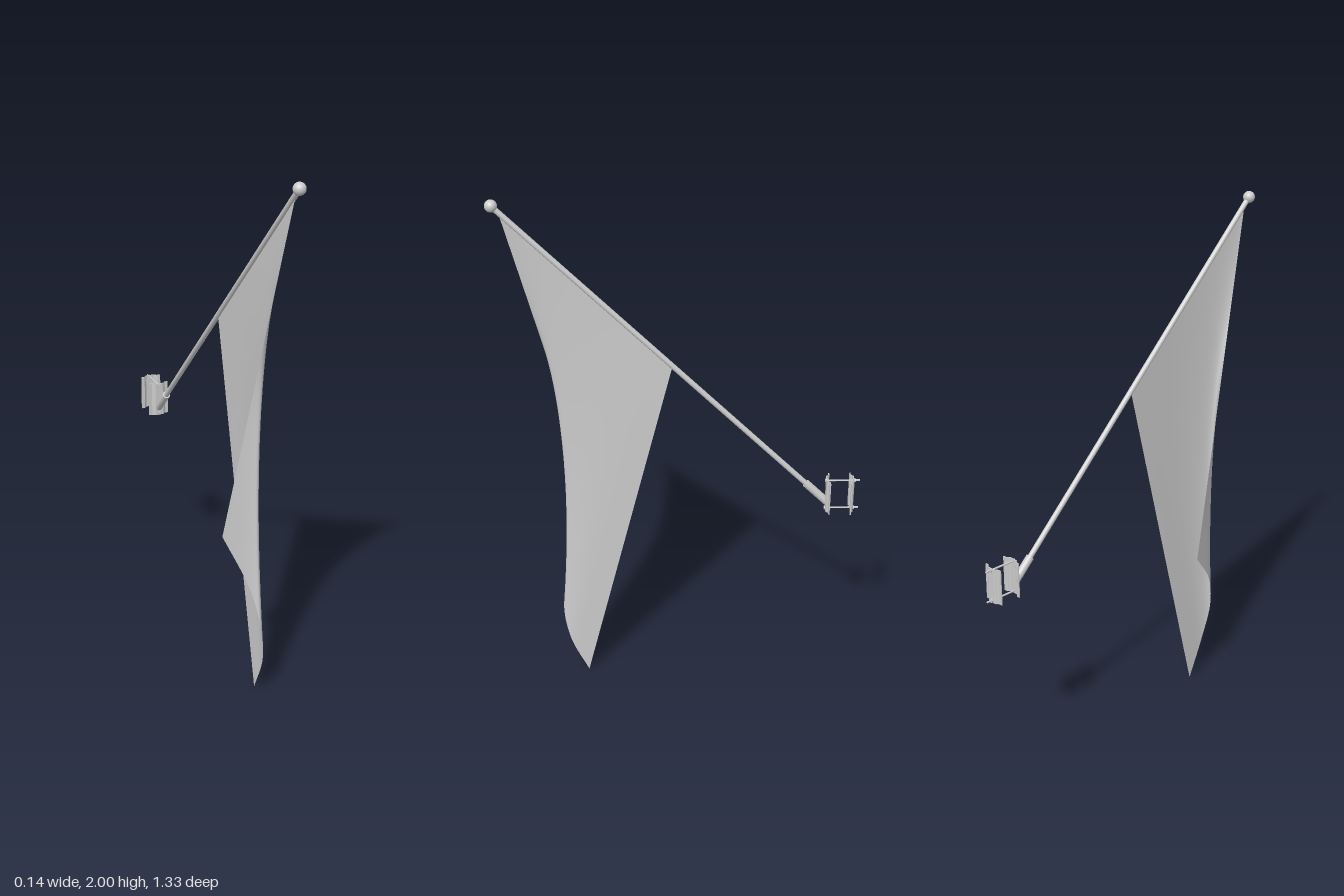
import * as THREE from 'three';

const X = 0.03; // plane of the pole
const mat = new THREE.MeshStandardMaterial({ color: 0xcccccc });
const clothMat = new THREE.MeshStandardMaterial({ color: 0xcccccc, side: THREE.DoubleSide });
const V = (x, y, z) => new THREE.Vector3(x, y, z);

function mesh(name, geometry, material = mat) {
  const m = new THREE.Mesh(geometry, material);
  m.name = name;
  return m;
}

// Cylinder running from point a to point b
function rod(a, b, r, sides = 24) {
  const d = b.clone().sub(a);
  const g = new THREE.CylinderGeometry(r, r, d.length(), sides);
  g.applyQuaternion(new THREE.Quaternion().setFromUnitVectors(V(0, 1, 0), d.normalize()));
  const c = a.clone().add(b).multiplyScalar(0.5);
  return g.translate(c.x, c.y, c.z);
}

// Point on the pole's axis, which rises at 45 degrees
const onPole = (z) => V(X, z + 1.335, z);

// Draped cloth: straight threads from the pole to a folded lower hem
function clothGeometry() {
  const hem = new THREE.CatmullRomCurve3([
    V(0.03, 0, 0.375), V(0.03, 0.16, 0.443), V(0.008, 0.318, 0.465),
    V(-0.022, 0.47, 0.422), V(-0.07, 0.62, 0.30),
  ], false, 'catmullrom', 0.5);
  const g = new THREE.PlaneGeometry(1, 1, 48, 24);
  const p = g.attributes.position, uv = g.attributes.uv;
  for (let i = 0; i < p.count; i++) {
    const u = uv.getX(i), t = 1 - uv.getY(i);
    const q = onPole(0.035 + u * 0.585).lerp(hem.getPoint(u), t);
    p.setXYZ(i, q.x, q.y, q.z);
  }
  g.computeVertexNormals();
  return g;
}

// Sleeve holding the pole, cut off upright where it meets the clamp
function sleeveGeometry() {
  const g = rod(onPole(-0.52), onPole(-0.462), 0.015);
  const p = g.attributes.position;
  for (let i = 0; i < p.count; i++) {
    if (p.getY(i) + p.getZ(i) > 0.32) continue; // upper end stays square
    const shift = -0.54 - p.getZ(i);
    p.setXYZ(i, p.getX(i), p.getY(i) + shift, -0.54);
  }
  g.computeVertexNormals();
  return g;
}

// Bent clamp plate; its wings turn towards +depth
function jawGeometry() {
  const t = 0.004;
  const half = [[0.015, 0], [0.02, 0.002], [0.024, 0.007], [0.028, 0.01], [0.041, 0.01]];
  const line = [...half.map(([x, d]) => [-x, d]).reverse(), ...half];
  const outline = [...line, ...line.map(([x, d]) => [x, d + t]).reverse()];
  const shape = new THREE.Shape(outline.map(([x, d]) => new THREE.Vector2(x, d)));
  const g = new THREE.ExtrudeGeometry(shape, { depth: 0.136, bevelEnabled: false });
  return g.rotateX(-Math.PI / 2).translate(0, -0.068, 0);
}

export function createModel() {
  const model = new THREE.Group();
  model.name = 'flagOnPole';

  model.add(mesh('pole', rod(onPole(-0.53), onPole(0.64), 0.01)));
  const ball = mesh('finial', new THREE.SphereGeometry(0.022, 32, 20));
  ball.position.copy(onPole(0.643));
  model.add(ball, mesh('flagCloth', clothGeometry(), clothMat));

  // Wall clamp: two jaws, two bolts, nuts and heads
  const clamp = new THREE.Group();
  clamp.name = 'clamp';
  clamp.add(mesh('sleeve', sleeveGeometry()));
  const frontJaw = mesh('frontJaw', jawGeometry());
  frontJaw.position.set(X, 0.825, -0.538);
  const backJaw = mesh('backJaw', jawGeometry());
  backJaw.position.set(X, 0.825, -0.642);
  backJaw.rotation.y = Math.PI;
  clamp.add(frontJaw, backJaw);
  for (const y of [0.765, 0.885]) {
    clamp.add(mesh('bolt', rod(V(X, y, -0.664), V(X, y, -0.535), 0.0035, 12)));
    clamp.add(mesh('boltHead', rod(V(X, y, -0.54), V(X, y, -0.534), 0.008, 6)));
    clamp.add(mesh('nut', rod(V(X, y, -0.648), V(X, y, -0.64), 0.008, 6)));
  }
  // Extruded jaws grow along z after rotation, so the wings of each face the other jaw
  model.add(clamp);
  return model;
}
